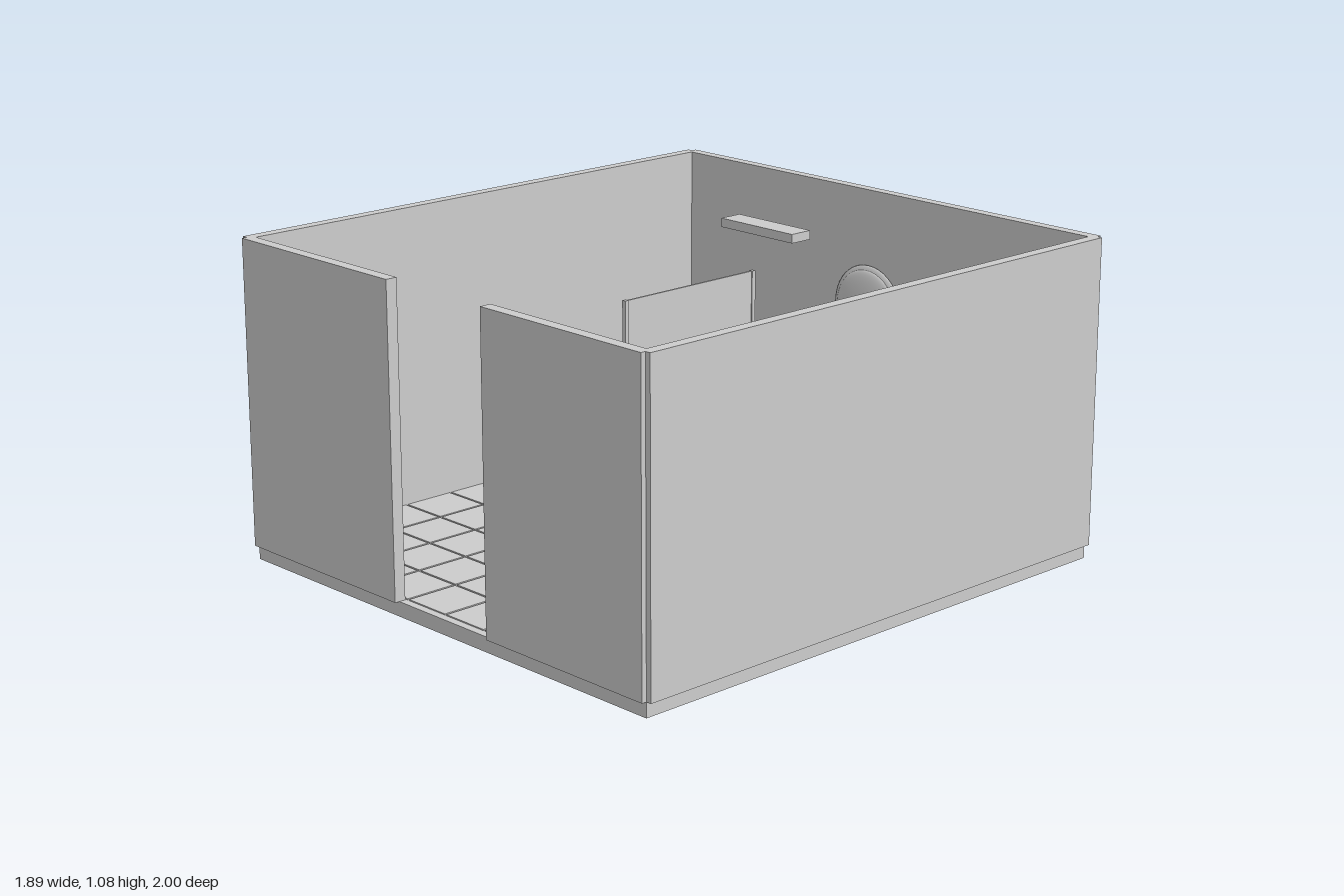
import * as THREE from 'three';

const grey = new THREE.MeshStandardMaterial({ color: 0xcccccc });
grey.name = 'plainGrey';
const greyFaceted = grey.clone();
greyFaceted.name = 'plainGreyFaceted';
greyFaceted.flatShading = true;

export function createModel() {
  const room = new THREE.Group();
  room.name = 'bathroom';

  const group = (name) => {
    const g = new THREE.Group();
    g.name = name;
    room.add(g);
    return g;
  };
  const add = (parent, name, geometry, material = grey) => {
    const mesh = new THREE.Mesh(geometry, material);
    mesh.name = name;
    parent.add(mesh);
    return mesh;
  };
  // Box given by its extents along each axis
  const box = (parent, name, x0, x1, y0, y1, z0, z1) => {
    const mesh = add(parent, name, new THREE.BoxGeometry(x1 - x0, y1 - y0, z1 - z0));
    mesh.position.set((x0 + x1) / 2, (y0 + y1) / 2, (z0 + z1) / 2);
    return mesh;
  };
  // Stretched sphere given by its centre and radii
  const ellipsoid = (parent, name, centre, radii, sides, rings, material) => {
    const geometry = new THREE.SphereGeometry(1, sides, rings).scale(...radii);
    const mesh = add(parent, name, geometry, material);
    mesh.position.set(...centre);
    return mesh;
  };

  const base = 0.05, top = 1.083;

  // Floor slab and slightly raised tiles
  box(room, 'floorSlab', -0.928, 0.928, 0, base, -0.983, 0.983);
  const tiles = group('floorTiles');
  const count = 10, width = 1.82 / count, depth = 1.92 / count, gap = 0.004;
  for (let i = 0; i < count; i++) {
    for (let j = 0; j < count; j++) {
      const x = -0.91 + i * width, z = -0.96 + j * depth;
      box(tiles, 'tile', x + gap, x + width - gap, base, base + 0.004, z + gap, z + depth - gap);
    }
  }

  // Walls, with a doorway in the front
  const walls = group('walls');
  box(walls, 'leftWall', 0.908, 0.947, base, top, -0.983, 0.983);
  box(walls, 'rightWall', -0.947, -0.908, base, top, -0.983, 0.983);
  box(walls, 'backWall', -0.928, 0.928, base, top, -1, -0.962);
  box(walls, 'frontWallRight', -0.928, -0.193, base, top, 0.96, 1);
  box(walls, 'frontWallLeft', 0.244, 0.928, base, top, 0.96, 1);

  // Shower tray with a screen held between two posts
  const shower = group('shower');
  box(shower, 'showerTray', -0.897, -0.548, base, 0.12, -0.918, -0.304);
  box(shower, 'showerScreen', -0.554, -0.546, 0.12, 0.715, -0.918, -0.304);
  for (const z of [-0.916, -0.304]) {
    box(shower, 'showerPost', -0.558, -0.542, base, 0.716, z - 0.008, z + 0.008);
  }

  // Vanity with a shallow basin and tap
  const vanity = group('vanity');
  const cx = -0.022;
  box(vanity, 'cabinet', cx - 0.185, cx + 0.185, base, 0.38, -0.937, -0.725);
  box(vanity, 'counter', cx - 0.198, cx + 0.198, 0.38, 0.425, -0.944, -0.717);
  ellipsoid(vanity, 'basin', [cx, 0.425, -0.813], [0.122, 0.008, 0.066], 24, 12);
  box(vanity, 'tap', cx - 0.013, cx + 0.013, 0.425, 0.5, -0.907, -0.881);

  // Round domed mirror and its frame
  const mirror = group('mirror');
  ellipsoid(mirror, 'mirrorFrame', [cx, 0.67, -0.948], [0.153, 0.153, 0.02], 20, 20);
  ellipsoid(mirror, 'mirrorGlass', [cx, 0.67, -0.94], [0.137, 0.137, 0.018], 24, 20);

  // Ceiling lamp bar
  box(room, 'ceilingLamp', -0.183, 0.143, 1.02, 1.05, -0.484, -0.4);

  // Toilet
  const toilet = group('toilet');
  box(toilet, 'cistern', 0.612, 0.79, 0.15, 0.34, -0.89, -0.775);
  ellipsoid(toilet, 'bowl', [0.701, 0.15, -0.735], [0.076, 0.075, 0.103], 12, 8, greyFaceted);
  const foot = add(toilet, 'foot', new THREE.CylinderGeometry(0.05, 0.055, 0.1, 12), greyFaceted);
  foot.position.set(0.701, 0.1, -0.745);

  // Towel on a rail
  const towelRail = group('towelRail');
  const rail = add(towelRail, 'rail', new THREE.CylinderGeometry(0.008, 0.008, 0.245, 12));
  rail.rotation.x = Math.PI / 2;
  rail.position.set(0.898, 0.57, -0.092);
  box(towelRail, 'towel', 0.888, 0.908, 0.36, 0.58, -0.202, 0.018);

  return room;
}
